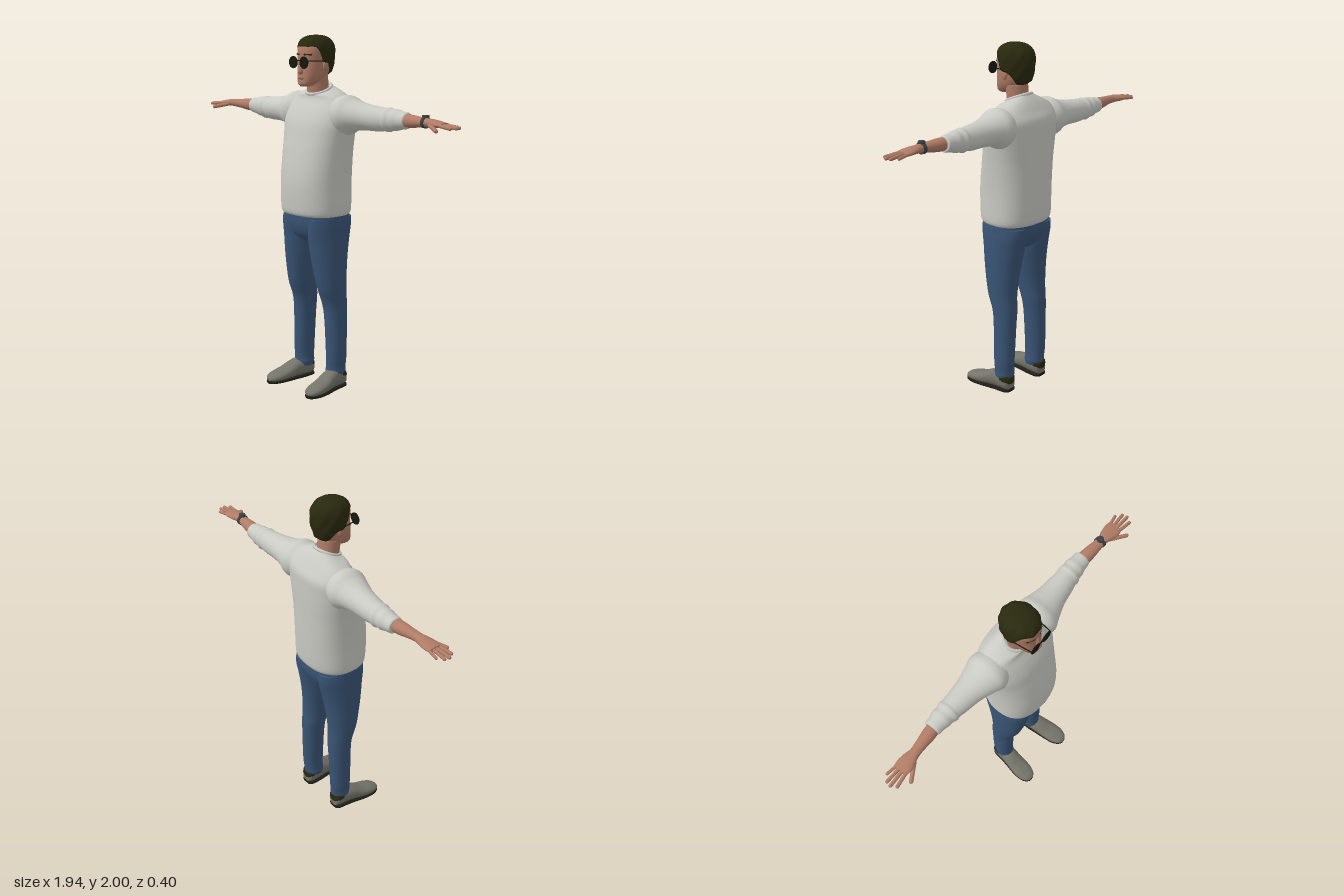
import * as THREE from 'three';

const mat = (name, color, side = THREE.FrontSide) => {
  const m = new THREE.MeshStandardMaterial({ color, side });
  m.name = name;
  return m;
};

// Closed skin from rings: f(t, angle) gives a point, t runs from first to last ring; ends are capped.
function surface(rings, segs, f) {
  const pos = [], idx = [];
  for (let i = 0; i <= rings; i++)
    for (let j = 0; j < segs; j++) pos.push(...f(i / rings, (j / segs) * Math.PI * 2));
  for (let i = 0; i < rings; i++)
    for (let j = 0; j < segs; j++) {
      const k = (j + 1) % segs, a = i * segs + j, b = i * segs + k;
      idx.push(a, a + segs, b, b, a + segs, b + segs);
    }
  for (const [ring, up] of [[0, false], [rings, true]]) {
    const start = pos.length / 3, c = [0, 0, 0];
    for (let j = 0; j < segs; j++) {
      const p = pos.slice((ring * segs + j) * 3, (ring * segs + j) * 3 + 3);
      pos.push(...p);
      p.forEach((v, n) => { c[n] += v / segs; });
    }
    pos.push(...c);
    for (let j = 0; j < segs; j++) {
      const a = start + j, b = start + (j + 1) % segs;
      idx.push(start + segs, up ? b : a, up ? a : b);
    }
  }
  const g = new THREE.BufferGeometry();
  g.setAttribute('position', new THREE.Float32BufferAttribute(pos, 3));
  g.setIndex(idx);
  g.computeVertexNormals();
  return g;
}

// Smooth loft along an axis. Row: [position, centreU, radiusU, centreV, radiusV, tilt]
// with (U, V) = (x, z) along y, (z, y) along x, (y, x) along z.
function loft(axis, rows, { power = 2, segs = 32, steps = 5 } = {}) {
  const n = rows.length - 1;
  const row = (i, k) => rows[Math.min(n, Math.max(0, i))][k] ?? 0;
  const at = (t, k) => {
    const s = t * n, i = Math.min(n - 1, Math.floor(s)), w = s - i;
    const p0 = row(i - 1, k), p1 = row(i, k), p2 = row(i + 1, k), p3 = row(i + 2, k);
    const m1 = (p2 - p0) / 2, m2 = (p3 - p1) / 2;
    return (2 * p1 - 2 * p2 + m1 + m2) * w ** 3 + (3 * p2 - 3 * p1 - 2 * m1 - m2) * w * w + m1 * w + p1;
  };
  const bend = (v) => Math.sign(v) * Math.abs(v) ** (2 / power);
  return surface(n * steps, segs, (t, a) => {
    const c = bend(Math.cos(a)), s = bend(Math.sin(a));
    const w = at(t, 0) + at(t, 5) * s, u = at(t, 1) + at(t, 2) * c, v = at(t, 3) + at(t, 4) * s;
    return axis === 'y' ? [u, w, v] : axis === 'x' ? [w, v, u] : [v, u, w];
  });
}

// Rounded rod between two points
function rod(a, b, r) {
  const A = new THREE.Vector3(...a), B = new THREE.Vector3(...b), d = B.clone().sub(A);
  const g = new THREE.CapsuleGeometry(r, d.length(), 4, 10);
  g.applyQuaternion(new THREE.Quaternion().setFromUnitVectors(new THREE.Vector3(0, 1, 0), d.normalize()));
  return g.translate(...A.add(B).multiplyScalar(0.5).toArray());
}

const ball = (x, y, z, sx, sy, sz) => new THREE.SphereGeometry(1, 20, 14).scale(sx, sy, sz).translate(x, y, z);

function mirrored(geo) {
  const g = geo.clone().scale(-1, 1, 1), ix = g.index;
  for (let i = 0; i < ix.count; i += 3) {
    const b = ix.getX(i + 1);
    ix.setX(i + 1, ix.getX(i + 2));
    ix.setX(i + 2, b);
  }
  return g;
}

export function createModel() {
  const root = new THREE.Group();
  root.name = 'standingMan';
  const skin = mat('skin', 0xb07c66), lip = mat('lips', 0x91594c), hair = mat('hair', 0x29290f);
  const knit = mat('sweater', 0xcacac4), denim = mat('denim', 0x3a5576), shoe = mat('shoe', 0x74746a);
  const sole = mat('sole', 0x1f1f18), dark = mat('glasses', 0x15180e), steel = mat('watch', 0x3c4044);

  const add = (name, geo, m) => {
    const mesh = new THREE.Mesh(geo, m);
    mesh.name = name;
    root.add(mesh);
  };
  const pair = (name, geo, m) => {
    add('left' + name, geo, m);
    add('right' + name, mirrored(geo), m);
  };

  // Sweater
  add('sweaterBody', loft('y', [
    [1.015, 0, 0.192, -0.022, 0.16], [1.05, 0, 0.2, -0.022, 0.172], [1.2, 0, 0.198, -0.022, 0.178],
    [1.35, 0, 0.204, -0.033, 0.168], [1.45, 0, 0.214, -0.045, 0.158], [1.53, 0, 0.225, -0.055, 0.148],
    [1.6, 0, 0.225, -0.07, 0.13], [1.65, 0, 0.2, -0.072, 0.1], [1.685, 0, 0.145, -0.06, 0.082, -0.01],
    [1.705, 0, 0.08, -0.045, 0.066, -0.025],
  ], { power: 2.4, segs: 48 }), knit);
  const collar = [];
  for (let i = 0; i < 24; i++) {
    const a = (i / 24) * Math.PI * 2;
    collar.push(new THREE.Vector3(0.074 * Math.cos(a), 1.706 - 0.027 * Math.sin(a), -0.043 + 0.065 * Math.sin(a)));
  }
  add('collar', new THREE.TubeGeometry(new THREE.CatmullRomCurve3(collar, true), 48, 0.009, 8, true), knit);
  pair('Sleeve', loft('x', [
    [0.13, -0.07, 0.095, 1.58, 0.085], [0.2, -0.07, 0.118, 1.572, 0.11], [0.26, -0.073, 0.1, 1.574, 0.085],
    [0.34, -0.08, 0.078, 1.57, 0.071], [0.43, -0.086, 0.066, 1.566, 0.066], [0.47, -0.089, 0.061, 1.568, 0.061],
    [0.49, -0.09, 0.064, 1.567, 0.065], [0.515, -0.091, 0.056, 1.568, 0.058], [0.54, -0.093, 0.057, 1.569, 0.057],
    [0.57, -0.093, 0.05, 1.57, 0.049], [0.605, -0.093, 0.047, 1.571, 0.044], [0.613, -0.093, 0.041, 1.571, 0.038],
  ]), knit);

  // Forearms, hands and fingers
  pair('Forearm', loft('x', [
    [0.58, -0.09, 0.036, 1.572, 0.035], [0.65, -0.085, 0.036, 1.572, 0.034], [0.71, -0.08, 0.03, 1.574, 0.027],
    [0.76, -0.076, 0.028, 1.575, 0.023], [0.8, -0.075, 0.038, 1.575, 0.02], [0.84, -0.073, 0.045, 1.572, 0.017],
    [0.875, -0.074, 0.04, 1.57, 0.012],
  ]), skin);
  const fingers = [
    ['Thumb', [0.795, 1.568, -0.048], [0.878, 1.548, 0.0], 0.011],
    ['IndexFinger', [0.855, 1.57, -0.044], [0.942, 1.562, -0.032], 0.0095],
    ['MiddleFinger', [0.86, 1.57, -0.064], [0.96, 1.563, -0.061], 0.0095],
    ['RingFinger', [0.86, 1.57, -0.083], [0.955, 1.563, -0.088], 0.009],
    ['LittleFinger', [0.85, 1.57, -0.101], [0.925, 1.563, -0.114], 0.008],
  ];
  for (const [name, a, b, r] of fingers) pair(name, rod(a, b, r), skin);

  // Wristwatch on the left arm
  add('watchBand', loft('x', [[0.736, -0.078, 0.033, 1.575, 0.03], [0.754, -0.077, 0.033, 1.575, 0.03]]), steel);
  add('watchCase', new THREE.CylinderGeometry(0.018, 0.02, 0.012, 20).translate(0.745, 1.606, -0.078), steel);

  // Trousers
  add('hips', loft('y', [
    [0.86, 0, 0.11, -0.025, 0.085], [0.9, 0, 0.165, -0.026, 0.125],
    [0.96, 0, 0.192, -0.027, 0.148], [1.03, 0, 0.188, -0.027, 0.152],
  ], { power: 2.4, segs: 40 }), denim);
  pair('TrouserLeg', loft('y', [
    [0.075, 0.13, 0.05, -0.05, 0.055], [0.1, 0.13, 0.055, -0.052, 0.06], [0.13, 0.131, 0.052, -0.054, 0.06],
    [0.2, 0.133, 0.054, -0.055, 0.064], [0.4, 0.127, 0.06, -0.055, 0.069], [0.5, 0.122, 0.067, -0.05, 0.075],
    [0.6, 0.119, 0.076, -0.03, 0.09], [0.75, 0.108, 0.09, -0.022, 0.111], [0.87, 0.1, 0.097, -0.025, 0.13],
    [0.95, 0.1, 0.095, -0.028, 0.144], [1.0, 0.1, 0.09, -0.028, 0.145],
  ]), denim);

  // Shoes: upper, dark heel panel and sole
  const outline = [
    [-0.108, 0.045, 0.03, 0.135, 0.03], [-0.09, 0.06, 0.048, 0.135, 0.045], [-0.03, 0.065, 0.053, 0.138, 0.05],
    [0.02, 0.06, 0.048, 0.145, 0.052], [0.08, 0.045, 0.034, 0.154, 0.056], [0.14, 0.036, 0.026, 0.16, 0.054],
    [0.182, 0.03, 0.018, 0.163, 0.038], [0.2, 0.026, 0.008, 0.163, 0.016],
  ];
  pair('ShoeUpper', loft('z', outline, { power: 2.3 }), shoe);
  pair('Sole', loft('z', outline.map(([z, , , x, rx]) => [z, 0.01, 0.01, x, rx * 0.98]), { power: 3.5 }), sole);
  pair('HeelPanel', loft('z', [
    [-0.111, 0.07, 0.02, 0.135, 0.028], [-0.092, 0.078, 0.033, 0.135, 0.046], [-0.06, 0.082, 0.03, 0.136, 0.049],
  ]), hair);

  // Neck and head
  add('neck', loft('y', [
    [1.65, 0, 0.068, -0.042, 0.06], [1.7, 0, 0.064, -0.036, 0.058], [1.78, 0, 0.064, -0.026, 0.06],
  ]), skin);
  add('head', loft('y', [
    [1.724, 0, 0.026, 0.06, 0.024], [1.738, 0, 0.046, 0.045, 0.051], [1.77, 0, 0.065, 0.015, 0.08],
    [1.81, 0, 0.075, -0.003, 0.095], [1.86, 0, 0.08, -0.013, 0.1], [1.91, 0, 0.083, -0.013, 0.102],
    [1.95, 0, 0.075, -0.013, 0.09], [1.975, 0, 0.045, -0.013, 0.055],
  ], { power: 2.25, segs: 40 }), skin);
  add('nose', loft('y', [
    [1.789, 0, 0.012, 0.085, 0.012], [1.803, 0, 0.017, 0.088, 0.025],
    [1.83, 0, 0.012, 0.086, 0.019], [1.87, 0, 0.009, 0.081, 0.011],
  ], { segs: 16 }), skin);
  add('lips', ball(0, 1.768, 0.091, 0.024, 0.006, 0.007), lip);
  pair('Ear', ball(0.082, 1.838, -0.015, 0.011, 0.03, 0.018).rotateY(0), skin);
  pair('Eyebrow', rod([0.02, 1.897, 0.086], [0.055, 1.897, 0.067], 0.005), hair);

  // Hair cap: hairline high over the face, low at the nape
  const { smoothstep } = THREE.MathUtils;
  add('hair', surface(20, 48, (t, a) => {
    const s = Math.sin(a);
    const edge = 1.78 + 0.06 * smoothstep(s, -0.8, -0.1) + 0.095 * smoothstep(s, 0.1, 0.65);
    const y = edge + (2 - edge) * Math.sin(t * Math.PI / 2);
    let k = y > 1.9
      ? Math.max(0, 1 - ((y - 1.9) / 0.1) ** 2.6) ** (1 / 2.6)
      : 1 - 0.3 * ((1.9 - y) / 0.13) ** 2;
    k *= (t === 0 ? 0.8 : 1) * (1 + 0.018 * Math.sin(9 * a + 60 * y));
    return [0.098 * k * Math.cos(a), y, -0.02 + 0.113 * k * s];
  }), hair);

  // Round sunglasses
  pair('Lens', new THREE.CylinderGeometry(0.029, 0.029, 0.004, 28).rotateX(Math.PI / 2).translate(0.042, 1.855, 0.11), dark);
  pair('LensRim', new THREE.TorusGeometry(0.03, 0.0035, 8, 28).translate(0.042, 1.855, 0.11), dark);
  pair('Temple', rod([0.072, 1.865, 0.108], [0.088, 1.86, -0.015], 0.003), dark);
  add('glassesBridge', rod([-0.014, 1.865, 0.112], [0.014, 1.865, 0.112], 0.0035), dark);

  return root;
}
